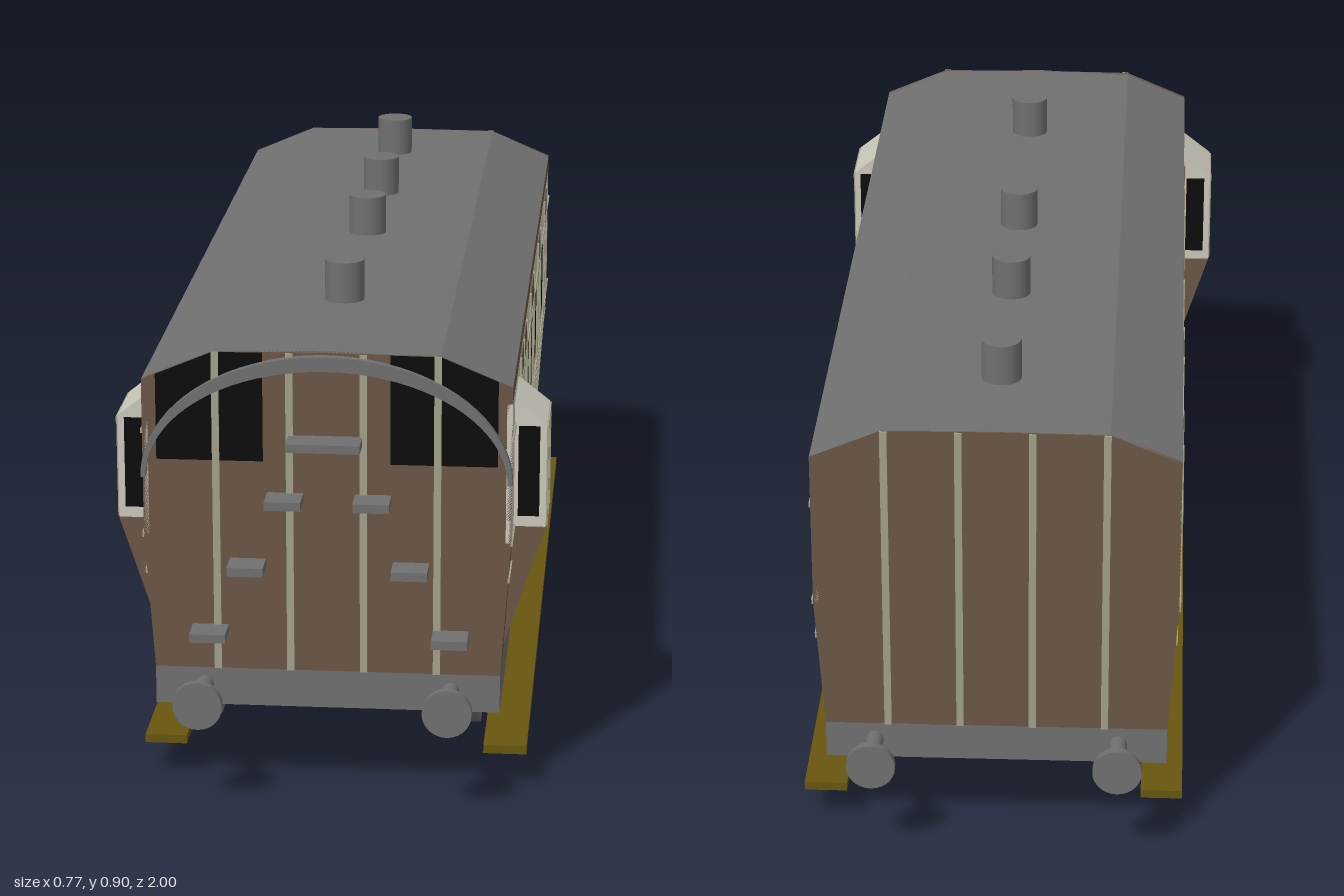
import * as THREE from 'three';

const mat = (name, color, side = THREE.FrontSide) => {
  const m = new THREE.MeshStandardMaterial({ color, side });
  m.name = name;
  return m;
};

export function createModel() {
  const root = new THREE.Group();
  const brown = mat('brown panel', 0x6b5745);
  const cream = mat('cream panel', 0xcbc8ba);
  const sage = mat('sage beading', 0xa1a18a);
  const grey = mat('grey metal', 0x707070);
  const black = mat('black glass', 0x0c0c0c);
  const olive = mat('olive board', 0x68560f);
  const pale = mat('pale floor', 0x949494);

  const add = (name, geo, material, parent = root) => {
    const m = new THREE.Mesh(geo, material);
    m.name = name;
    parent.add(m);
    return m;
  };
  const group = (name) => {
    const g = new THREE.Group();
    g.name = name;
    root.add(g);
    return g;
  };
  // Box given by its limits
  const box = (name, x0, x1, y0, y1, z0, z1, material, parent) => add(name,
    new THREE.BoxGeometry(x1 - x0, y1 - y0, z1 - z0)
      .translate((x0 + x1) / 2, (y0 + y1) / 2, (z0 + z1) / 2), material, parent);
  // Outline in x,y pushed along z
  const slab = (name, pts, z0, z1, material, parent) => add(name,
    new THREE.ExtrudeGeometry(new THREE.Shape(pts.map(p => new THREE.Vector2(...p))),
      { depth: z1 - z0, bevelEnabled: false }).translate(0, 0, z0), material, parent);
  const flip = (pts, s) => pts.map(([x, y]) => [x * s, y]);

  const BACK = -0.9, FRONT = 0.89;
  // Half width of the body: leans in below the waist
  const wallX = y => y >= 0.49 ? 0.325 : 0.308 + (y - 0.24) * 0.068;

  // Underframe and floor
  box('underframe', -0.308, 0.308, 0.17, 0.24, BACK, FRONT, grey);
  box('floor', -0.3, 0.3, 0.24, 0.243, BACK + 0.012, FRONT - 0.012, pale);

  // Roof shell and ventilators
  const roof = [[0.325, 0.775], [0.2, 0.828], [0, 0.83], [-0.2, 0.828], [-0.325, 0.775]];
  const roofUnder = [[-0.315, 0.77], [-0.2, 0.818], [0, 0.82], [0.2, 0.818], [0.315, 0.77]];
  slab('roof', [...roof, ...roofUnder], BACK + 0.002, FRONT - 0.002, grey);
  for (const z of [0.53, 0.03, -0.302, -0.675]) {
    add('roofVentilator', new THREE.CylinderGeometry(0.036, 0.036, 0.085, 24)
      .translate(0, 0.8625, z), grey);
  }

  // End walls with vertical beading
  const endOutline = [[-0.325, 0.49], [-0.308, 0.24], [0.308, 0.24], [0.325, 0.49], ...roof];
  slab('frontWall', endOutline, FRONT - 0.01, FRONT, brown);
  slab('rearWall', endOutline, BACK, BACK + 0.01, brown);
  for (const x of [-0.195, -0.065, 0.065, 0.195]) {
    box('frontBeading', x - 0.0065, x + 0.0065, 0.24, 0.828, FRONT, FRONT + 0.004, sage);
    box('rearBeading', x - 0.0065, x + 0.0065, 0.24, 0.828, BACK - 0.004, BACK, sage);
  }

  // Front windows
  for (const s of [-1, 1]) {
    slab('frontWindow', flip([[0.112, 0.63], [0.3, 0.63], [0.3, 0.785], [0.2, 0.827],
      [0.112, 0.828]], s), FRONT, FRONT + 0.002, black);
  }

  // Curved rain strip over the front
  const arch = new THREE.Shape();
  arch.absellipse(0, 0.6, 0.327, 0.226, 0, Math.PI, false);
  arch.absellipse(0, 0.6, 0.318, 0.2, Math.PI, 0, true);
  add('frontArch', new THREE.ExtrudeGeometry(arch, { depth: 0.015, bevelEnabled: false,
    curveSegments: 20 }).translate(0, 0, FRONT), grey);

  // Climbing steps
  box('topStep', -0.067, 0.063, 0.664, 0.679, FRONT, 0.945, grey);
  for (const [y, l, r] of [[0.565, -0.073, 0.082], [0.441, -0.14, 0.149], [0.315, -0.208, 0.22]]) {
    for (const x of [l, r]) {
      box('climbingStep', x - 0.032, x + 0.032, y - 0.008, y + 0.008, FRONT, 0.945, grey);
    }
  }

  // Side walls
  const doorLines = [0.585, 0.457, 0.323, 0.136, -0.03, -0.254, -0.388, -0.618, -0.757];
  const bays = [[0.228, 0.575], [-0.12, 0.18], [-0.48, -0.175], [-0.835, -0.525]];
  const pillars = [[0.575, FRONT], [0.18, 0.228], [-0.175, -0.12], [-0.525, -0.48], [BACK, -0.835]];
  const headPanels = [[0.334, 0.575], [-0.02, 0.126], [-0.377, -0.26], [-0.746, -0.63]];

  for (const s of [1, -1]) {
    const side = group(s > 0 ? 'leftSide' : 'rightSide');
    // Plate that follows the lean of the wall
    const plate = (name, y0, y1, z0, z1, off, t, material) => {
      const g = new THREE.BoxGeometry(t, y1 - y0, z1 - z0)
        .translate(0, (y0 + y1) / 2, (z0 + z1) / 2);
      const p = g.attributes.position;
      for (let i = 0; i < p.count; i++) p.setX(i, p.getX(i) + s * (wallX(p.getY(i)) + off));
      g.computeVertexNormals();
      add(name, g, material, side);
    };
    const wall = (name, y0, y1, z0, z1, m) => plate(name, y0, y1, z0, z1, -0.005, 0.01, m);
    const trim = (name, y0, y1, z0, z1, m, off = 0.001) => plate(name, y0, y1, z0, z1, off, 0.004, m);

    wall('lowerPanel', 0.24, 0.49, BACK, FRONT, brown);
    wall('headBand', 0.68, 0.745, BACK, FRONT, cream);
    wall('cantRail', 0.745, 0.775, BACK, FRONT, brown);
    for (const [a, b] of pillars) wall('windowPillar', 0.49, 0.68, a, b, cream);
    for (const [a, b] of headPanels) trim('headPanel', 0.688, 0.736, a, b, brown, 0);
    trim('waistBeading', 0.415, 0.425, BACK, FRONT, sage);
    trim('sillBeading', 0.483, 0.493, BACK, FRONT, sage);
    trim('lintelBeading', 0.676, 0.684, BACK, FRONT, sage);
    for (const z of doorLines) {
      trim('lowerDoorBeading', 0.24, 0.49, z - 0.008, z + 0.008, sage, 0.0015);
      trim('upperDoorBeading', 0.49, 0.738, z - 0.008, z + 0.008, sage, 0.0015);
    }
    // Glazing on one side, open bays with slim mullions on the other
    for (const [a, b] of bays) {
      if (s > 0) plate('sideWindow', 0.49, 0.68, a, b, -0.006, 0.006, black);
    }

    // Guard's lookout
    const z0 = s > 0 ? 0.648 : 0.655, z1 = z0 + 0.148;
    slab('lookoutBody', flip([[0.32, 0.49], [0.382, 0.49], [0.382, 0.68], [0.325, 0.725],
      [0.32, 0.725]], s), z0, z1, cream, side);
    slab('lookoutSkirt', flip([[0.308, 0.26], [0.382, 0.488], [0.32, 0.49]], s), z0, z1, brown, side);
    for (const z of [z0 - 0.002, z1]) {
      slab('lookoutWindow', flip([[0.332, 0.51], [0.37, 0.51], [0.37, 0.677], [0.332, 0.677]], s),
        z, z + 0.002, black, side);
    }
    const outer = [s * 0.382, s * 0.385].sort((a, b) => a - b);
    for (const z of [z0 + 0.012, (z0 + z1) / 2, z1 - 0.012]) {
      box('lookoutBeading', ...outer, 0.49, 0.676, z - 0.006, z + 0.006, sage, side);
    }
    box('lookoutTopBeading', ...outer, 0.668, 0.678, z0, z1, sage, side);

    // Running board
    const [bx0, bx1] = s > 0 ? [0.277, 0.355] : [-0.338, -0.262];
    box('footboard', bx0, bx1, 0.068, 0.084, -0.857, 0.835, olive);

    // Wheels, springs and hangers
    for (const z of [0.5, -0.505]) {
      add('wheel', new THREE.CylinderGeometry(0.11, 0.11, 0.02, 32)
        .rotateZ(Math.PI / 2).translate(s * 0.247, 0.11, z), grey);
      const leaf = new THREE.Shape();
      leaf.moveTo(-0.2, 0.165);
      leaf.quadraticCurveTo(0, 0.06, 0.2, 0.165);
      leaf.quadraticCurveTo(0, 0.12, -0.2, 0.165);
      add('leafSpring', new THREE.ExtrudeGeometry(leaf, { depth: 0.022, bevelEnabled: false })
        .rotateY(-Math.PI / 2).translate(s * 0.286 + 0.011, 0, z), grey);
      const x0 = s * 0.286 - 0.013, x1 = x0 + 0.026;
      box('axleBox', x0, x1, 0.085, 0.17, z - 0.03, z + 0.03, grey);
      for (const d of [-0.195, 0.165]) {
        box('springHanger', x0, x1, 0.108, 0.17, z + d, z + d + 0.022, grey);
      }
    }

    // Buffers at both ends
    for (const e of [1, -1]) {
      const start = e > 0 ? FRONT : -BACK;
      add('bufferStem', new THREE.CylinderGeometry(0.016, 0.016, 0.995 - start, 16)
        .rotateX(Math.PI / 2).translate(s * 0.22, 0.208, e * (start + 0.995) / 2), grey);
      add('bufferHead', new THREE.CylinderGeometry(0.044, 0.044, 0.014, 28)
        .rotateX(Math.PI / 2).translate(s * 0.22, 0.208, e * 0.993), grey);
    }
  }

  // Axles
  for (const z of [0.5, -0.505]) {
    add('axle', new THREE.CylinderGeometry(0.0125, 0.0125, 0.48, 16)
      .rotateZ(Math.PI / 2).translate(0, 0.133, z), grey);
  }
  return root;
}
